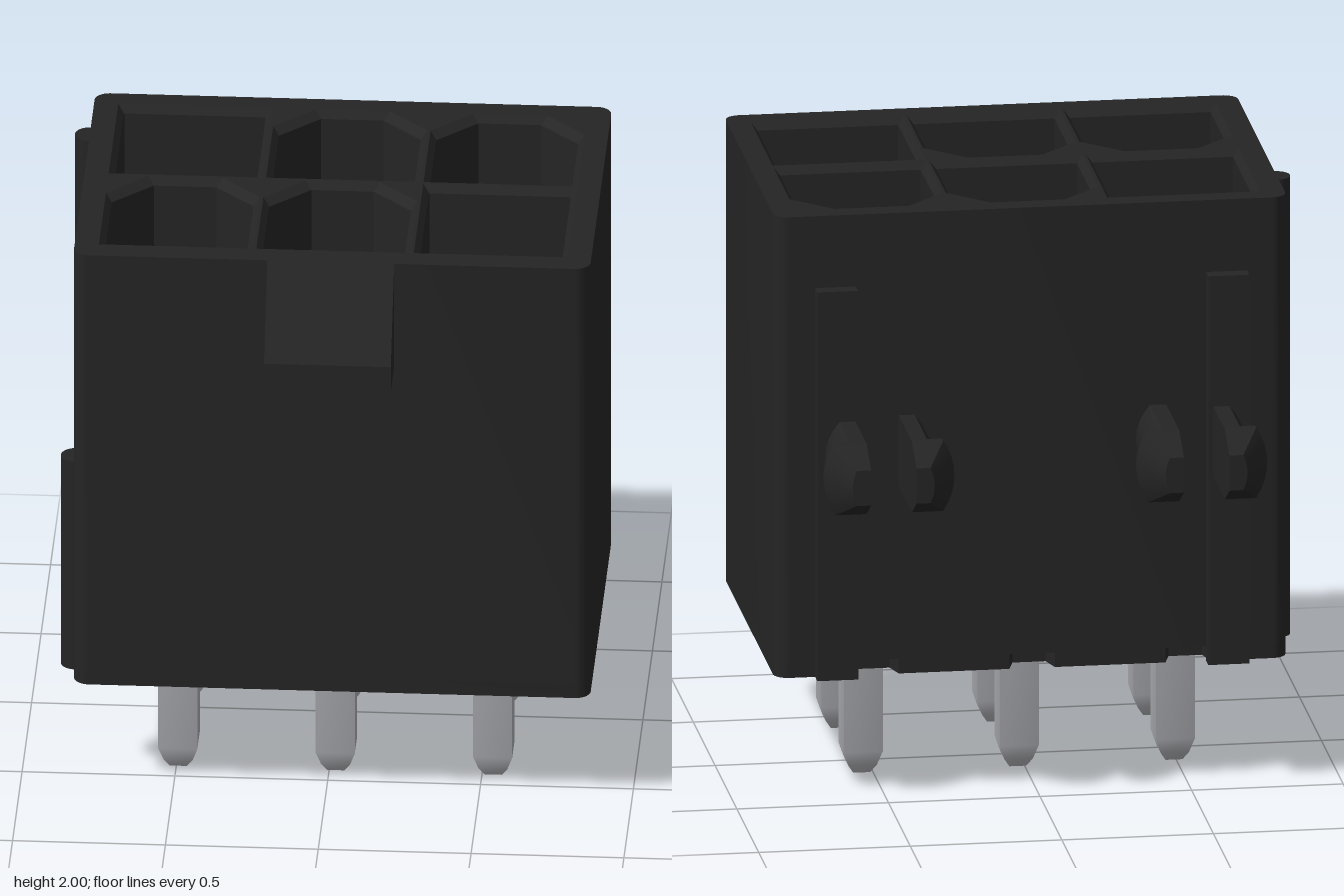
import * as THREE from 'three';
import { toCreasedNormals } from 'three/addons/utils/BufferGeometryUtils.js';

const V = (x, y, z) => new THREE.Vector3(x, y, z);
const BACK = -0.47, FRONT = 0.705, RIGHT = -0.82, LEFT = 0.87;
const PIN_X = [-0.493, 0.022, 0.537], PIN_Z = [-0.118, 0.397];

// Skin a list of rings with equal point counts, optionally closing the ends
function loft(rings, capStart, capEnd) {
  const pos = [], n = rings[0].length;
  const tri = (...p) => p.forEach(v => pos.push(v.x, v.y, v.z));
  for (let k = 0; k < rings.length - 1; k++) {
    const a = rings[k], b = rings[k + 1];
    for (let i = 0; i < n; i++) {
      const j = (i + 1) % n;
      tri(a[i], a[j], b[j]);
      tri(a[i], b[j], b[i]);
    }
  }
  const s = rings[0], e = rings[rings.length - 1];
  for (let i = 1; i < n - 1; i++) {
    if (capStart) tri(s[0], s[i + 1], s[i]);
    if (capEnd) tri(e[0], e[i], e[i + 1]);
  }
  const g = new THREE.BufferGeometry();
  g.setAttribute('position', new THREE.Float32BufferAttribute(pos, 3));
  return toCreasedNormals(g, 0.5);
}

// Square cell outline, seen from above, with optional cut corners at the back
function cellOutline(cx, cz, h, cut) {
  const p = [[h, h], [h, -h + cut], [h - cut, -h], [-h + cut, -h], [-h, -h + cut], [-h, h]];
  return p.map(([x, z]) => [cx + x, cz + z]);
}

// Rounded footprint of the housing (shape y is -z), with optional back notches
function footprint(notched) {
  const s = new THREE.Shape(), r = 0.05, q = Math.PI / 2;
  s.absarc(LEFT - r, -FRONT + r, r, -q, 0);
  s.absarc(LEFT - r, -BACK - r, r, 0, q);
  if (notched) for (const x of [...PIN_X].reverse()) {
    s.lineTo(x + 0.075, -BACK);
    s.lineTo(x + 0.055, -BACK - 0.07);
    s.lineTo(x - 0.055, -BACK - 0.07);
    s.lineTo(x - 0.075, -BACK);
  }
  s.absarc(RIGHT + r, -BACK - r, r, q, 2 * q);
  s.absarc(RIGHT + r, -FRONT + r, r, 2 * q, 3 * q);
  return s;
}

function extrudeUp(shape, y0, y1) {
  const g = new THREE.ExtrudeGeometry(shape, { depth: y1 - y0, bevelEnabled: false, curveSegments: 5 });
  g.rotateX(-Math.PI / 2).translate(0, y0, 0);
  return toCreasedNormals(g, 0.5);
}

// Half of a split snap peg: a round section clipped flat above and below
function snapPeg(cx, side) {
  const cy = 1.19, inner = 0.075;
  const ring = (z, r, h) => {
    const a = Math.asin(h / r), pts = [V(cx + side * inner, cy - h, z)];
    for (let i = 0; i <= 8; i++) {
      const t = -a + (2 * a * i) / 8;
      pts.push(V(cx + side * r * Math.cos(t), cy + r * Math.sin(t), z));
    }
    pts.push(V(cx + side * inner, cy + h, z));
    return side > 0 ? pts.reverse() : pts;
  };
  return loft([
    ring(BACK + 0.01, 0.175, 0.12), ring(-0.75, 0.175, 0.12), ring(-0.75, 0.215, 0.12),
    ring(-0.775, 0.215, 0.12), ring(-0.88, 0.135, 0.06)
  ], true, true);
}

export function createModel() {
  const model = new THREE.Group();
  const plastic = new THREE.MeshStandardMaterial({ color: 0x252525 });
  plastic.name = 'black plastic';
  const metal = new THREE.MeshStandardMaterial({ color: 0xb1b2b7 });
  metal.name = 'tinned metal';
  const add = (name, geo, mat = plastic) => {
    const m = new THREE.Mesh(geo, mat);
    m.name = name;
    model.add(m);
    return m;
  };

  // Housing with six open cells
  const shell = footprint(false);
  PIN_Z.forEach((z, row) => PIN_X.forEach((x, col) => {
    const square = (row === 0 && col === 0) || (row === 1 && col === 2);
    const cx = x + 0.004, cz = z - 0.026;
    const outline = (h, cut) => cellOutline(cx, cz, h, cut);
    const cut = square ? 0.002 : 0.13;
    shell.holes.push(new THREE.Path(outline(0.252, cut).map(([a, b]) => new THREE.Vector2(a, -b))));
    // Cell lining with a lead-in chamfer and a floor
    const rings = [[2, 0.252], [1.975, 0.232], [0.75, 0.232]]
      .map(([y, h]) => outline(h, cut).map(([a, b]) => V(a, y, b)));
    add('cellLining', loft(rings, false, true));

    // Square contact pin, tapered at both ends
    const pin = [[0, 0.028], [0.03, 0.047], [0.08, 0.064], [1.42, 0.064], [1.5, 0.02]]
      .map(([y, h]) => [V(x + h, y, z + h), V(x + h, y, z - h), V(x - h, y, z - h), V(x - h, y, z + h)]);
    add('contactPin', loft(pin, true, true), metal);
  }));
  add('housing', extrudeUp(shell, 0.48, 2));
  add('housingBase', extrudeUp(footprint(true), 0.43, 0.48));

  // Locking ramp on the front
  const ramp = new THREE.Shape([[-0.69, 2], [-0.705, 2], [-0.88, 1.71], [-0.88, 1.615], [-0.69, 1.63]]
    .map(([a, b]) => new THREE.Vector2(a, b)));
  const rampGeo = new THREE.ExtrudeGeometry(ramp, { depth: 0.415, bevelEnabled: false });
  rampGeo.rotateY(Math.PI / 2).translate(-0.185, 0, 0);
  add('lockingRamp', rampGeo);

  // Round ribs on the right side: one full height, one short
  for (const [z, top] of [[-0.19, 1.99], [0.55, 1.19]]) {
    const rib = new THREE.CylinderGeometry(0.05, 0.05, top - 0.43, 20);
    add('sideRib', rib).position.set(RIGHT, (top + 0.43) / 2, z);
  }

  // Flat ribs on the back
  for (const x of [-0.62, 0.67]) {
    add('backRib', new THREE.BoxGeometry(0.135, 1.325, 0.06)).position.set(x, 0.43 + 1.325 / 2, -0.49);
  }

  // Two split snap pegs on the back
  for (const x of [-0.495, 0.537]) {
    for (const side of [-1, 1]) add('snapPeg', snapPeg(x, side));
  }
  return model;
}
